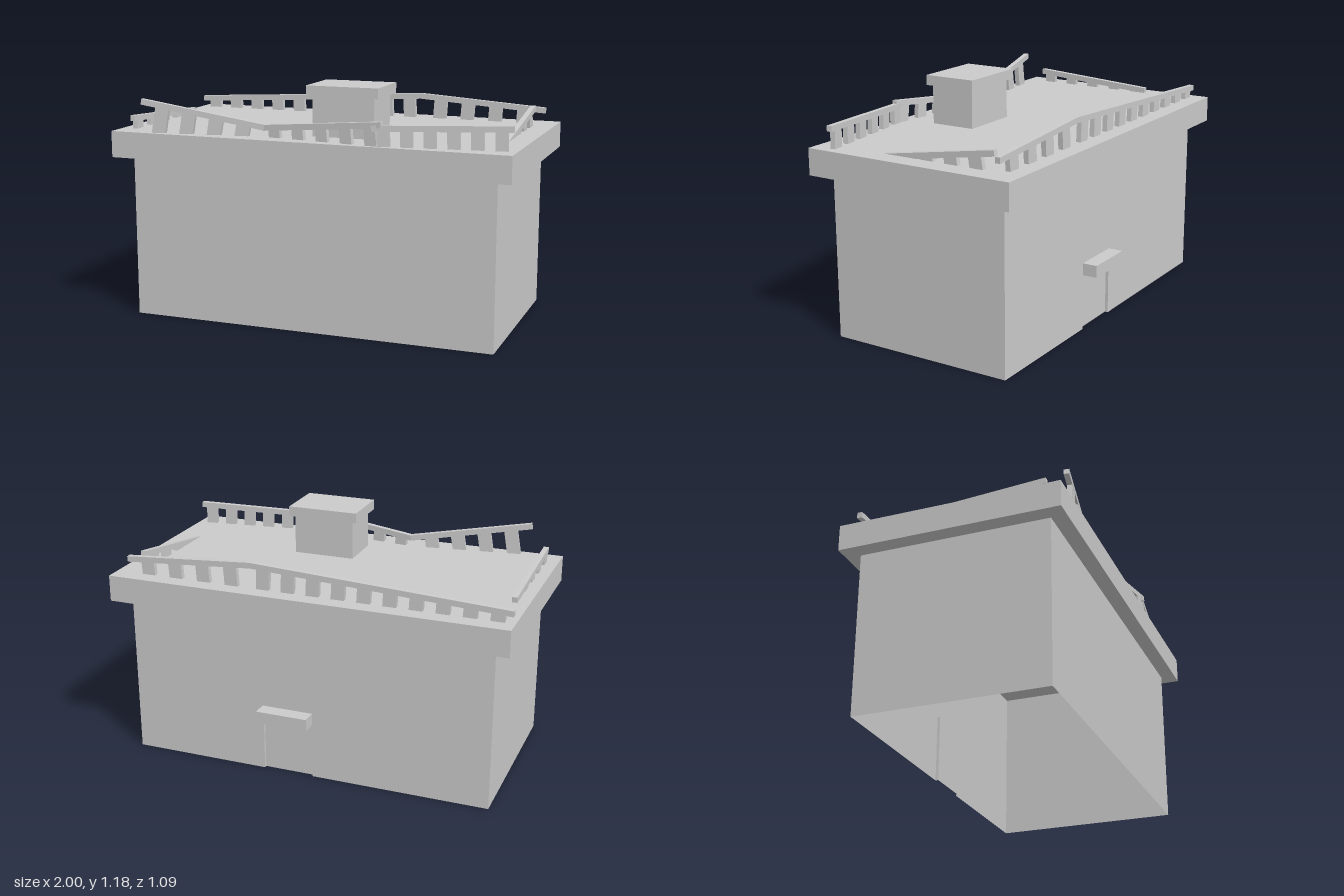
import * as THREE from 'three';

const material = new THREE.MeshStandardMaterial({ color: 0xcccccc, flatShading: true, side: THREE.DoubleSide });
const ROOF = 0.94;

function add(parent, name, geometry, x = 0, y = 0, z = 0) {
  const mesh = new THREE.Mesh(geometry, material);
  mesh.name = name;
  mesh.position.set(x, y, z);
  parent.add(mesh);
  return mesh;
}

// Box given by its minimum and maximum corners
function block(parent, name, [x0, y0, z0], [x1, y1, z1]) {
  return add(parent, name, new THREE.BoxGeometry(x1 - x0, y1 - y0, z1 - z0),
    (x0 + x1) / 2, (y0 + y1) / 2, (z0 + z1) / 2);
}

// Upright open panel, turned about y
function panel(parent, name, width, height, x, z, turn) {
  add(parent, name, new THREE.PlaneGeometry(width, height), x, height / 2, z).rotation.y = turn;
}

// Sagging railing: a bar from a to b with square posts set at right angles to it
function railing(name, a, b, count, postWidth, pad) {
  const start = new THREE.Vector3(...a), end = new THREE.Vector3(...b);
  const along = end.clone().sub(start), length = along.length();
  along.normalize();
  const side = new THREE.Vector3().crossVectors(along, new THREE.Vector3(0, 1, 0)).normalize();
  const up = new THREE.Vector3().crossVectors(side, along);
  const group = new THREE.Group();
  group.name = name;
  group.position.copy(start);
  group.quaternion.setFromRotationMatrix(new THREE.Matrix4().makeBasis(along, up, side));
  add(group, 'railBar', new THREE.BoxGeometry(length, 0.028, 0.026), length / 2);
  for (let i = 0; i < count; i++) {
    const s = pad + (length - 2 * pad) * i / (count - 1);
    const height = (start.y + along.y * s - ROOF) / up.y + 0.01; // foot sunk in the roof
    if (height < 0.025) continue;
    add(group, 'railPost', new THREE.BoxGeometry(postWidth, height, 0.025), s, -height / 2);
  }
  return group;
}

export function createModel() {
  const model = new THREE.Group();
  model.name = 'house';

  // Hollow walls, open underneath
  const walls = new THREE.Group();
  walls.name = 'walls';
  model.add(walls);
  const W = 0.92, H = 0.81, D = 0.47;
  panel(walls, 'frontWall', 2 * W, H, 0, D, 0);
  panel(walls, 'leftWall', 2 * D, H, W, 0, Math.PI / 2);
  panel(walls, 'rightWall', 2 * D, H, -W, 0, -Math.PI / 2);

  // Back wall with a shallow door recess
  const d0 = -0.03, d1 = 0.225, doorTop = 0.28, recess = 0.015;
  const outline = [[-W, 0], [d0, 0], [d0, doorTop], [d1, doorTop], [d1, 0], [W, 0], [W, H], [-W, H]];
  const backShape = new THREE.Shape(outline.map(p => new THREE.Vector2(...p)));
  const backGeometry = new THREE.ShapeGeometry(backShape).scale(-1, 1, 1).rotateY(Math.PI);
  // Mirroring flips the winding, so swap two corners of every triangle
  const index = backGeometry.index;
  for (let i = 0; i < index.count; i += 3) {
    const t = index.getX(i);
    index.setX(i, index.getX(i + 1));
    index.setX(i + 1, t);
  }
  backGeometry.computeVertexNormals();
  add(walls, 'backWall', backGeometry, 0, 0, -D);
  panel(walls, 'door', d1 - d0, doorTop, (d0 + d1) / 2, -D + recess, Math.PI);
  panel(walls, 'doorJamb', recess, doorTop, d0, -D + recess / 2, Math.PI / 2);
  panel(walls, 'doorJamb', recess, doorTop, d1, -D + recess / 2, -Math.PI / 2);
  block(model, 'doorCanopy', [-0.03, 0.28, -0.545], [0.23, 0.34, -D + recess]);

  // Flat overhanging roof and chimney
  block(model, 'roofSlab', [-1, H, -0.545], [1, ROOF, 0.545]);
  block(model, 'chimneyStack', [-0.015, ROOF, 0.12], [0.295, 1.135, 0.35]);
  block(model, 'chimneyCap', [-0.04, 1.135, 0.1], [0.32, 1.185, 0.37]);

  // Crooked railings round the roof edge
  model.add(
    railing('frontRailingRight', [-0.84, 1.09, 0.518], [-0.22, 0.983, 0.435], 4, 0.068, 0.11),
    railing('frontRailingMiddle', [-0.23, 0.983, 0.435], [0.39, 1.04, 0.518], 5, 0.06, 0.06),
    railing('frontRailingLeft', [0.34, 1.022, 0.518], [0.98, 1.04, 0.432], 6, 0.058, 0.055),
    railing('backRailingRight', [-0.99, 0.985, -0.45], [0.285, 1.053, -0.45], 10, 0.065, 0.07),
    railing('backRailingLeft', [0.28, 1.053, -0.45], [0.94, 1.007, -0.45], 4, 0.068, 0.11),
    railing('rightRailing', [-0.93, 0.995, 0.455], [-0.93, 0.952, -0.2], 5, 0.06, 0.055),
    railing('leftRailing', [0.885, 1.022, -0.405], [0.885, 0.925, 0.19], 4, 0.068, 0.105),
  );
  return model;
}
